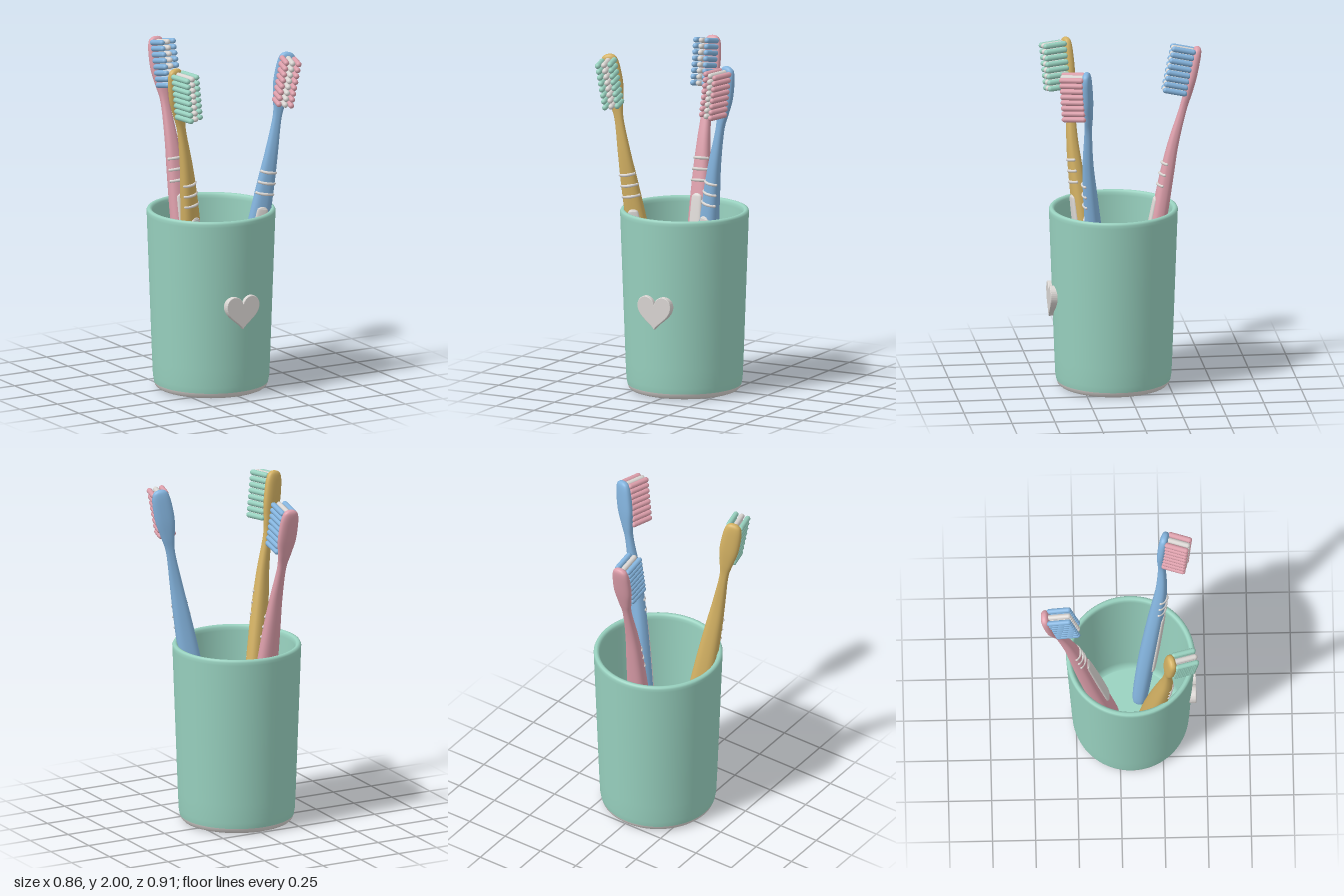
import * as THREE from 'three';

const mat = (name, color) => {
  const m = new THREE.MeshStandardMaterial({ color });
  m.name = name;
  return m;
};

function add(parent, name, geometry, material) {
  const mesh = new THREE.Mesh(geometry, material);
  mesh.name = name;
  parent.add(mesh);
  return mesh;
}

// Closed body from rounded cross-sections; keys are [height, halfWidth, halfDepth, zOffset]
function loft(keys, rows, sides, power) {
  const outline = new THREE.SplineCurve(keys.map(k => new THREE.Vector2(k[1], k[0])));
  const depth = new THREE.SplineCurve(keys.map(k => new THREE.Vector2(k[2], k[3])));
  const soft = v => Math.sign(v) * Math.abs(v) ** power;
  const pos = [], index = [];
  for (let i = 0; i <= rows; i++) {
    const p = outline.getPoint(i / rows), q = depth.getPoint(i / rows);
    for (let j = 0; j < sides; j++) {
      const a = (j / sides) * Math.PI * 2;
      pos.push(p.x * soft(Math.cos(a)), p.y, q.y + q.x * soft(Math.sin(a)));
      if (i === rows) continue;
      const b = i * sides + j, c = i * sides + (j + 1) % sides;
      index.push(b, b + sides, c, c, b + sides, c + sides);
    }
  }
  // End caps
  for (let j = 1; j < sides - 1; j++) {
    const t = rows * sides;
    index.push(0, j, j + 1, t, t + j + 1, t + j);
  }
  const g = new THREE.BufferGeometry();
  g.setAttribute('position', new THREE.Float32BufferAttribute(pos, 3));
  g.setIndex(index);
  g.computeVertexNormals();
  return g;
}

const LENGTH = 1.95;
const HANDLE = [
  [0, 0.012, 0.01, 0], [0.012, 0.04, 0.03, 0], [0.05, 0.06, 0.042, 0],
  [0.2, 0.067, 0.047, 0], [0.55, 0.07, 0.05, 0.006], [0.9, 0.063, 0.047, 0.016],
  [1.17, 0.05, 0.04, 0.024], [1.36, 0.037, 0.031, 0.025], [1.56, 0.026, 0.022, 0.012],
  [1.66, 0.04, 0.024, 0.004], [1.76, 0.057, 0.027, 0], [1.87, 0.056, 0.027, 0],
  [1.925, 0.045, 0.023, 0], [1.945, 0.025, 0.014, 0], [1.95, 0.004, 0.003, 0],
];
const PAD = [
  [0.4, 0.008, 0.004, 0.05], [0.408, 0.026, 0.01, 0.05], [0.44, 0.038, 0.013, 0.051],
  [0.7, 0.04, 0.013, 0.057], [0.98, 0.034, 0.013, 0.06], [1.02, 0.024, 0.01, 0.06],
  [1.03, 0.006, 0.004, 0.06],
];

// Toothbrush standing along local y with bristles towards local +z
function toothbrush(name, bodyMat, bristleMat, trimMat, bottom, top, facing) {
  const brush = new THREE.Group();
  brush.name = name;
  add(brush, 'handleAndHead', loft(HANDLE, 84, 28, 0.8), bodyMat);
  add(brush, 'thumbPad', loft(PAD, 30, 20, 0.7), trimMat);

  // Raised grip ridges wrapped over the front of the handle
  [[1.105, 0.053], [1.17, 0.05], [1.235, 0.046]].forEach(([y, w]) => {
    const points = [-1, -0.6, 0, 0.6, 1].map(t =>
      new THREE.Vector3(t * w * 0.92, y, 0.066 - 0.024 * t * t));
    const curve = new THREE.CatmullRomCurve3(points);
    add(brush, 'gripRidge', new THREE.TubeGeometry(curve, 14, 0.009, 8), trimMat);
    [points[0], points[4]].forEach(p =>
      add(brush, 'gripRidgeEnd', new THREE.SphereGeometry(0.009, 8, 6), trimMat).position.copy(p));
  });

  // Bristle tufts, three columns by eight rows
  const tuft = new THREE.CapsuleGeometry(0.0165, 0.112, 4, 10).rotateX(Math.PI / 2);
  for (let row = 0; row < 8; row++) {
    for (let col = -1; col <= 1; col++) {
      add(brush, 'bristleTuft', tuft, col ? bristleMat : trimMat)
        .position.set(col * 0.037, 1.667 + row * 0.0357, 0.083);
    }
  }

  // Lean from the cup floor towards the rim
  const up = top.clone().sub(bottom).normalize();
  const side = new THREE.Vector3().crossVectors(up, facing).normalize();
  const front = new THREE.Vector3().crossVectors(side, up);
  brush.quaternion.setFromRotationMatrix(new THREE.Matrix4().makeBasis(side, up, front));
  brush.position.copy(top).addScaledVector(up, -LENGTH);
  return brush;
}

function heartGeometry() {
  const s = new THREE.Shape();
  s.moveTo(0, -0.098);
  s.bezierCurveTo(-0.03, -0.055, -0.108, -0.025, -0.108, 0.04);
  s.bezierCurveTo(-0.108, 0.11, -0.018, 0.118, 0, 0.052);
  s.bezierCurveTo(0.018, 0.118, 0.108, 0.11, 0.108, 0.04);
  s.bezierCurveTo(0.108, -0.025, 0.03, -0.055, 0, -0.098);
  return new THREE.ExtrudeGeometry(s, {
    depth: 0.05, curveSegments: 16, bevelEnabled: true,
    bevelThickness: 0.004, bevelSize: 0.004, bevelOffset: -0.004, bevelSegments: 2,
  });
}

export function createModel() {
  const model = new THREE.Group();
  model.name = 'toothbrushCup';
  const mint = mat('mint', 0x98d1bf);
  const pink = mat('pink', 0xdd9fab);
  const blue = mat('blue', 0x84b4de);
  const yellow = mat('mustard', 0xd3b163);
  const grey = mat('warmGrey', 0xdad6d3);
  const V = (x, y, z) => new THREE.Vector3(x, y, z);
  const lathe = pts => new THREE.LatheGeometry(pts.map(p => new THREE.Vector2(...p)), 72);

  // Cup with a rounded rim, tapered inside wall and floor
  const cup = new THREE.Group();
  cup.name = 'cup';
  cup.position.set(-0.012, 0, 0.065);
  model.add(cup);
  add(cup, 'cupBody', lathe([
    [0.331, 0.035], [0.337, 0.07], [0.342, 0.18], [0.373, 1.035], [0.374, 1.053],
    [0.369, 1.064], [0.358, 1.068], [0.347, 1.064], [0.341, 1.053], [0.339, 1.035],
    [0.303, 0.13], [0.298, 0.09], [0.282, 0.072], [0.278, 0.07], [0, 0.07],
  ]), mint);
  add(cup, 'cupBase', lathe([
    [0, 0], [0.294, 0], [0.3, 0.001], [0.314, 0.006], [0.325, 0.017], [0.331, 0.035],
  ]), grey);
  add(cup, 'heartBadge', heartGeometry(), grey).position.set(0, 0.518, 0.325);

  // Three brushes leaning against the rim
  model.add(toothbrush('pinkToothbrush', pink, blue, grey,
    V(-0.03, 0.07, -0.03), V(-0.095, 1.99, -0.44), V(0, 0, 1)));
  model.add(toothbrush('blueToothbrush', blue, pink, grey,
    V(0.085, 0.07, 0.12), V(0.385, 1.99, 0.272), V(-0.3, 0, 1)));
  model.add(toothbrush('yellowToothbrush', yellow, mint, grey,
    V(-0.11, 0.07, 0.13), V(-0.388, 1.99, 0.298), V(0.26, 0, 1)));
  return model;
}
